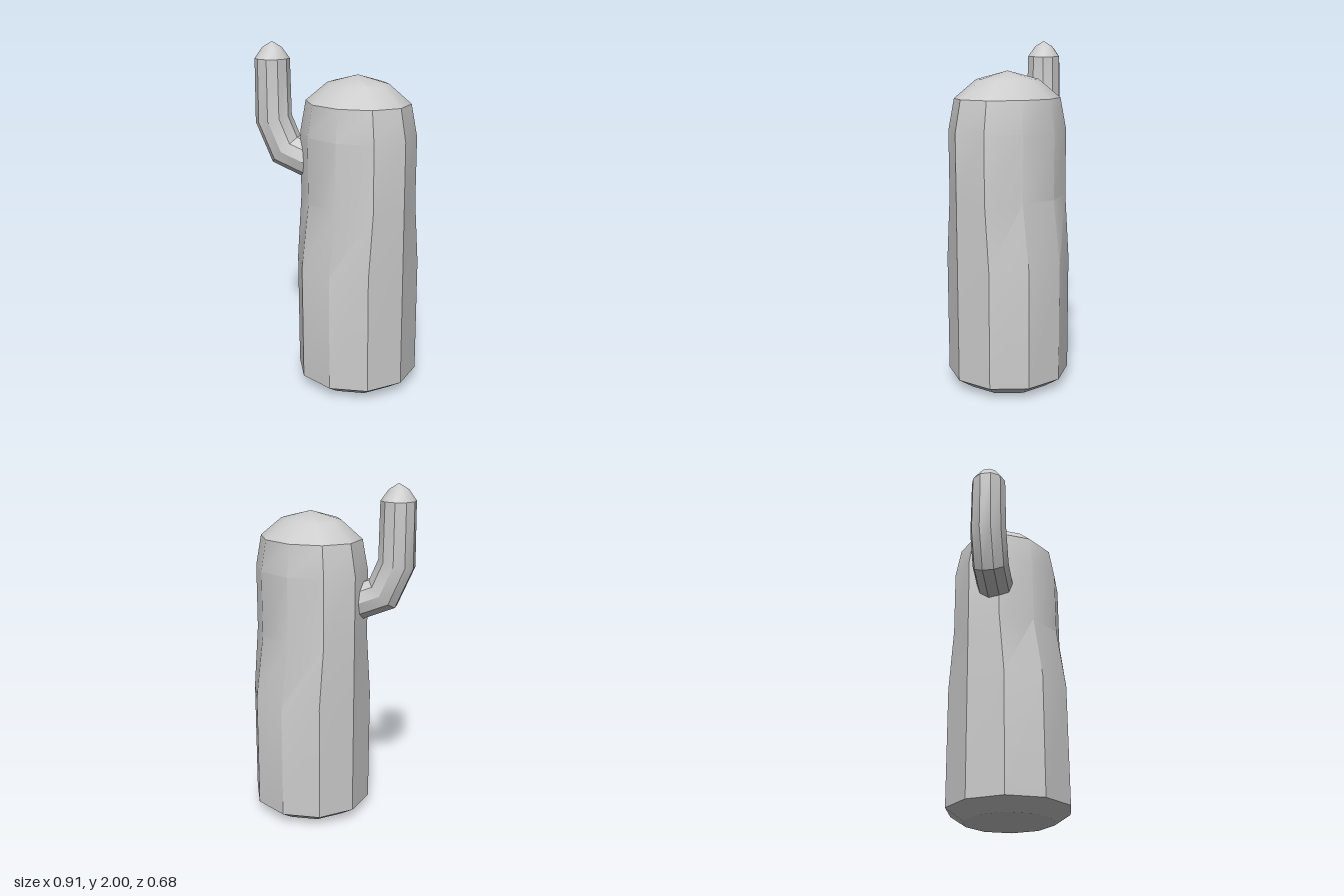
import * as THREE from 'three';
import { toCreasedNormals } from 'three/addons/utils/BufferGeometryUtils.js';

const SIDES = 10;
const CREASE = 0.56;

// One cross-section: a ten-sided ellipse around a centre, spanned by two axes
function ring(center, u, v, ru, rv) {
  return Array.from({ length: SIDES }, (_, i) => {
    const t = (i / SIDES) * Math.PI * 2;
    return center.clone().addScaledVector(u, ru * Math.cos(t)).addScaledVector(v, rv * Math.sin(t));
  });
}

// Skin the rings in order, closing both ends with fans
function loft(rings, startPoint, endPoint) {
  const pos = [];
  const tri = (...pts) => pts.forEach((p) => pos.push(p.x, p.y, p.z));
  const last = rings[rings.length - 1];
  for (let j = 0; j < SIDES; j++) {
    const k = (j + 1) % SIDES;
    tri(startPoint, rings[0][k], rings[0][j]);
    for (let i = 0; i < rings.length - 1; i++) {
      const a = rings[i], b = rings[i + 1];
      tri(a[j], a[k], b[k]);
      tri(a[j], b[k], b[j]);
    }
    tri(last[j], last[k], endPoint);
  }
  const geo = new THREE.BufferGeometry();
  geo.setAttribute('position', new THREE.Float32BufferAttribute(pos, 3));
  return toCreasedNormals(geo, CREASE);
}

// Trunk: wide in x all the way up, pinched in z above the middle
function trunkGeometry() {
  const u = new THREE.Vector3(1, 0, 0), v = new THREE.Vector3(0, 0, -1);
  // [height, x radius, z radius]
  const rows = [
    [0, 0.26, 0.26],
    [0.065, 0.357, 0.357],
    [0.75, 0.357, 0.357],
    [1.12, 0.357, 0.298],
    [1.5, 0.357, 0.298],
    [1.68, 0.32, 0.269],
    [1.785, 0.187, 0.157],
  ];
  const at = (y) => new THREE.Vector3(0.098, y, 0);
  return loft(rows.map(([y, rx, rz]) => ring(at(y), u, v, rx, rz)), at(0), at(1.832));
}

// Arm: leaves the trunk level, bends upward and ends in a small dome
function armGeometry() {
  const yaw = Math.PI / 6;
  const inward = new THREE.Vector3(Math.cos(yaw), 0, -Math.sin(yaw));
  const across = new THREE.Vector3(Math.sin(yaw), 0, Math.cos(yaw));
  const at = (s, y) => new THREE.Vector3(-0.355, y, 0.233).addScaledVector(inward, s);
  // [distance toward trunk, height, tilt from vertical in degrees, width radius, bend radius]
  const rows = [
    [0.36, 1.33, 90, 0.105, 0.105],
    [0.21, 1.33, 78, 0.105, 0.107],
    [0.075, 1.385, 45, 0.105, 0.113],
    [0, 1.56, 12, 0.105, 0.107],
    [0, 1.905, 0, 0.1, 0.1],
    [0, 1.967, 0, 0.055, 0.055],
  ];
  const rings = rows.map(([s, y, tilt, ru, rv]) => {
    const a = THREE.MathUtils.degToRad(tilt);
    const tangent = new THREE.Vector3(0, Math.cos(a), 0).addScaledVector(inward, -Math.sin(a));
    return ring(at(s, y), across, tangent.cross(across), ru, rv);
  });
  return loft(rings, at(0.36, 1.33), at(0, 2));
}

export function createModel() {
  const model = new THREE.Group();
  model.name = 'cactus';
  const material = new THREE.MeshStandardMaterial({ color: 0xcccccc });
  const add = (name, geometry) => {
    const mesh = new THREE.Mesh(geometry, material);
    mesh.name = name;
    model.add(mesh);
  };
  add('trunk', trunkGeometry());
  add('arm', armGeometry());
  return model;
}
